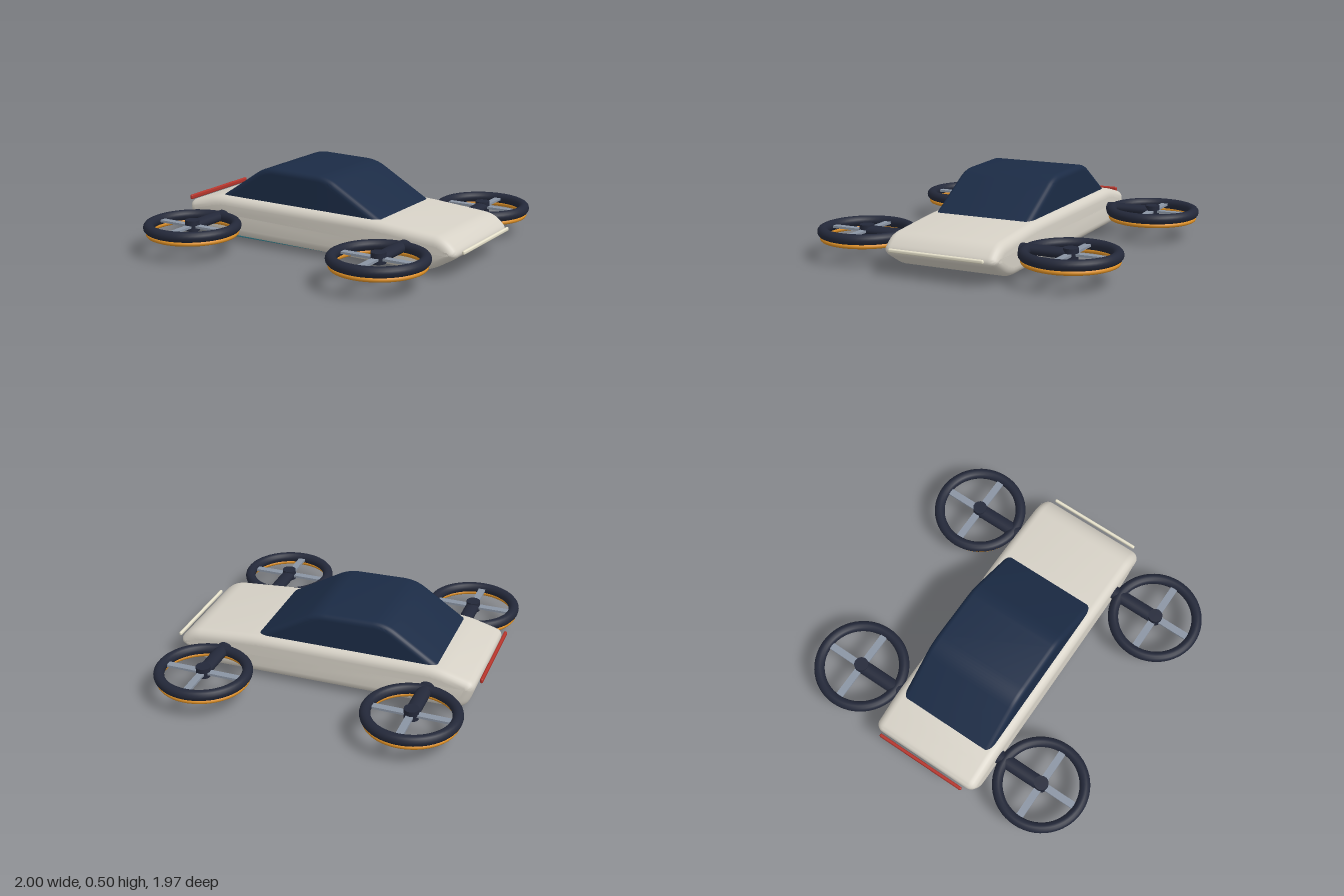
import * as THREE from 'three';
import { toCreasedNormals } from 'three/addons/utils/BufferGeometryUtils.js';
import { RoundedBoxGeometry } from 'three/addons/geometries/RoundedBoxGeometry.js';

const mat = (color) => new THREE.MeshStandardMaterial({ color });
const paint = {
  body: mat(0xd6d1c6), glass: mat(0x1b2b45), dark: mat(0x232839), steel: mat(0x8a94a3),
  amber: mat(0xdc8f26), teal: mat(0x3c93a3), red: mat(0xb5352c), cream: mat(0xe6e1cb),
};

function add(parent, name, geometry, material, x = 0, y = 0, z = 0) {
  const mesh = new THREE.Mesh(geometry, material);
  mesh.name = name;
  mesh.position.set(x, y, z);
  parent.add(mesh);
  return mesh;
}

// Polygon with softened corners; each corner is [x, y, softening distance]
function softShape(corners) {
  const shape = new THREE.Shape();
  const n = corners.length;
  corners.forEach(([x, y, d], i) => {
    const toward = ([px, py]) => {
      const t = d / Math.hypot(px - x, py - y);
      return [x + (px - x) * t, y + (py - y) * t];
    };
    const a = toward(corners[(i + n - 1) % n]);
    const b = toward(corners[(i + 1) % n]);
    if (i === 0) shape.moveTo(...a); else shape.lineTo(...a);
    shape.quadraticCurveTo(x, y, ...b);
  });
  shape.closePath();
  return shape;
}

// Side profile swept across the width, with rounded long edges
function hull(corners, halfWidth, bevel) {
  const depth = 2 * (halfWidth - bevel);
  const geometry = new THREE.ExtrudeGeometry(softShape(corners), {
    depth, curveSegments: 8, bevelEnabled: true, bevelThickness: bevel,
    bevelSize: bevel, bevelOffset: -bevel, bevelSegments: 6,
  });
  geometry.translate(0, 0, -depth / 2);
  return toCreasedNormals(geometry, 0.5);
}

// Ducted rotor with cross spokes and an arm reaching to the body
function rotor(name, x, side) {
  const group = new THREE.Group();
  group.name = name;
  group.position.set(x, 0.17, side * 0.683);
  const ring = (label, radius, tube, material, y) =>
    add(group, label, new THREE.TorusGeometry(radius, tube, 14, 56).rotateX(Math.PI / 2), material, 0, y, 0);
  ring('duct', 0.269, 0.033, paint.dark, 0);
  ring('glowRing', 0.272, 0.015, paint.amber, -0.041);
  add(group, 'spokeAcross', new THREE.BoxGeometry(0.5, 0.014, 0.045), paint.steel);
  add(group, 'spokeAlong', new THREE.BoxGeometry(0.045, 0.014, 0.5), paint.steel);
  add(group, 'hub', new THREE.CylinderGeometry(0.045, 0.045, 0.066, 24), paint.dark, 0, 0.004, 0);
  const arm = add(group, 'arm', new THREE.CylinderGeometry(0.045, 0.045, 0.36, 20).rotateX(Math.PI / 2),
    paint.dark, 0, 0, -side * 0.18);
  arm.scale.y = 0.7;
  return group;
}

export function createModel() {
  const model = new THREE.Group();
  model.name = 'flyingCar';

  // Body and canopy, nose toward +x
  add(model, 'body', hull([
    [-0.91, 0.038, 0.08], [0.77, 0.016, 0.09], [0.985, 0.14, 0.06], [0.885, 0.238, 0.065],
    [0.43, 0.277, 0.08], [-0.72, 0.29, 0.08], [-0.975, 0.222, 0.06],
  ], 0.372, 0.055), paint.body);
  add(model, 'canopy', hull([
    [-0.86, 0.19, 0.03], [0.58, 0.19, 0.03], [0.06, 0.492, 0.07], [-0.39, 0.503, 0.08],
  ], 0.325, 0.035), paint.glass);

  // Underside panel and light bars
  add(model, 'bellyPanel', new RoundedBoxGeometry(1.32, 0.03, 0.53, 3, 0.012), paint.teal, -0.04, 0.015, 0);
  add(model, 'rearLight', new RoundedBoxGeometry(0.02, 0.03, 0.61, 3, 0.009), paint.red, -0.99, 0.23, 0);
  add(model, 'frontLight', new RoundedBoxGeometry(0.02, 0.024, 0.62, 3, 0.009), paint.cream, 0.988, 0.157, 0);

  // Four rotors
  for (const side of [1, -1]) {
    const label = side > 0 ? 'Near' : 'Far';
    model.add(rotor('noseRotor' + label, 0.642, side));
    model.add(rotor('tailRotor' + label, -0.68, side));
  }
  return model;
}
